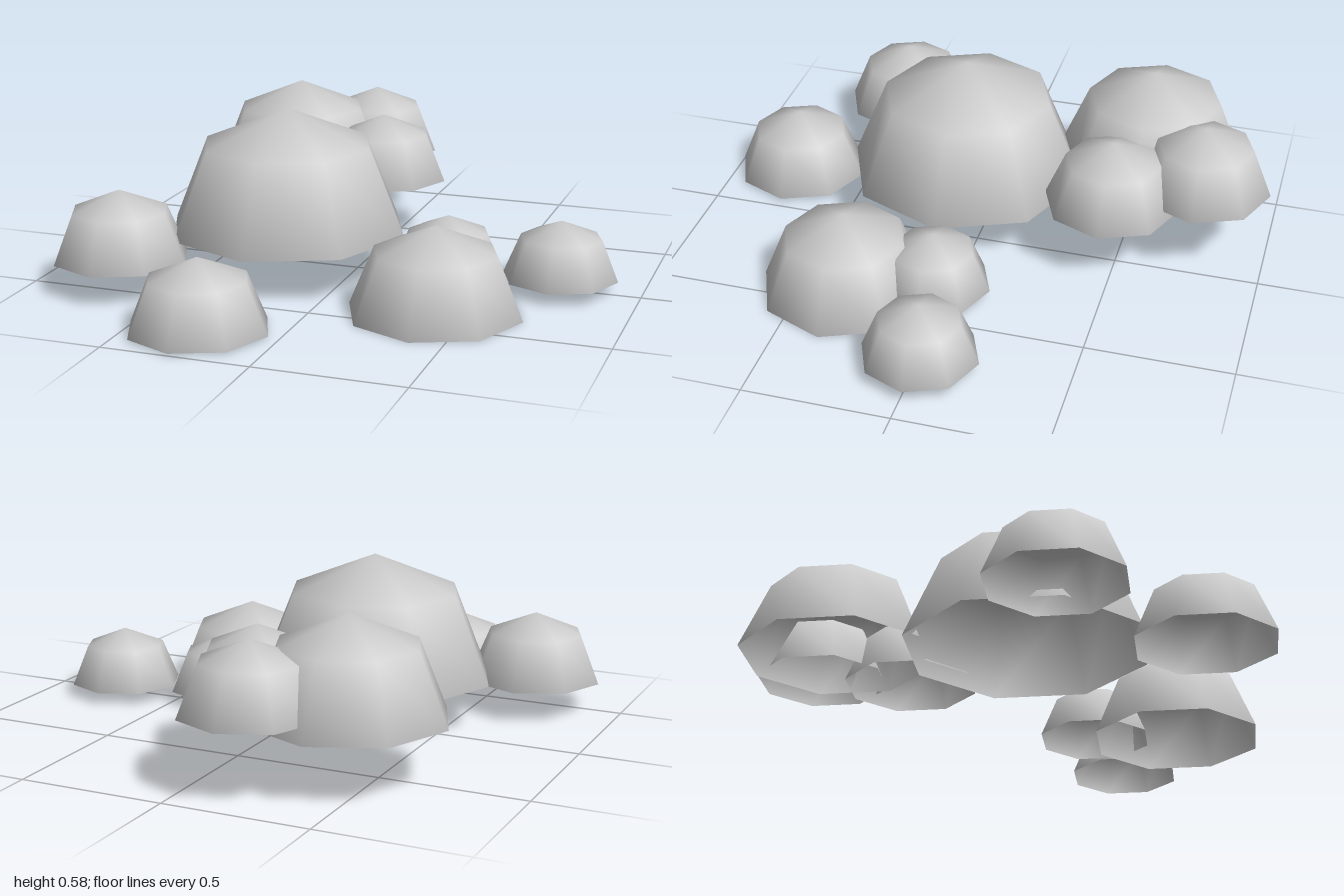
import * as THREE from 'three';

// Each dome: name, base centre x, y, z and radius
const DOMES = [
  ['mainDome', -0.223, 0.158, 0.099, 0.424],
  ['backLargeDome', -0.412, 0.2, -0.541, 0.335],
  ['backTipDome', -0.182, 0.244, -0.763, 0.236],
  ['backSmallDome', -0.058, 0.209, -0.467, 0.236],
  ['sideInnerDome', 0.346, 0.044, 0.058, 0.198],
  ['sideOuterDome', 0.722, 0.042, -0.01, 0.198],
  ['frontLargeDome', 0.388, 0, 0.358, 0.296],
  ['frontCornerDome', -0.69, 0.108, 0.46, 0.236],
  ['frontSmallDome', -0.272, 0.007, 0.763, 0.237],
];

export function createModel() {
  const group = new THREE.Group();
  group.name = 'domeCluster';
  const material = new THREE.MeshStandardMaterial({ color: 0xcccccc, side: THREE.DoubleSide });

  // Open low-poly hemisphere with eight sides and two rings, shared by all domes
  const hemisphere = new THREE.SphereGeometry(1, 8, 2, 0, Math.PI * 2, 0, Math.PI / 2);

  for (const [name, x, y, z, radius] of DOMES) {
    const dome = new THREE.Mesh(hemisphere, material);
    dome.name = name;
    dome.position.set(x, y, z);
    dome.scale.setScalar(radius);
    group.add(dome);
  }
  return group;
}
